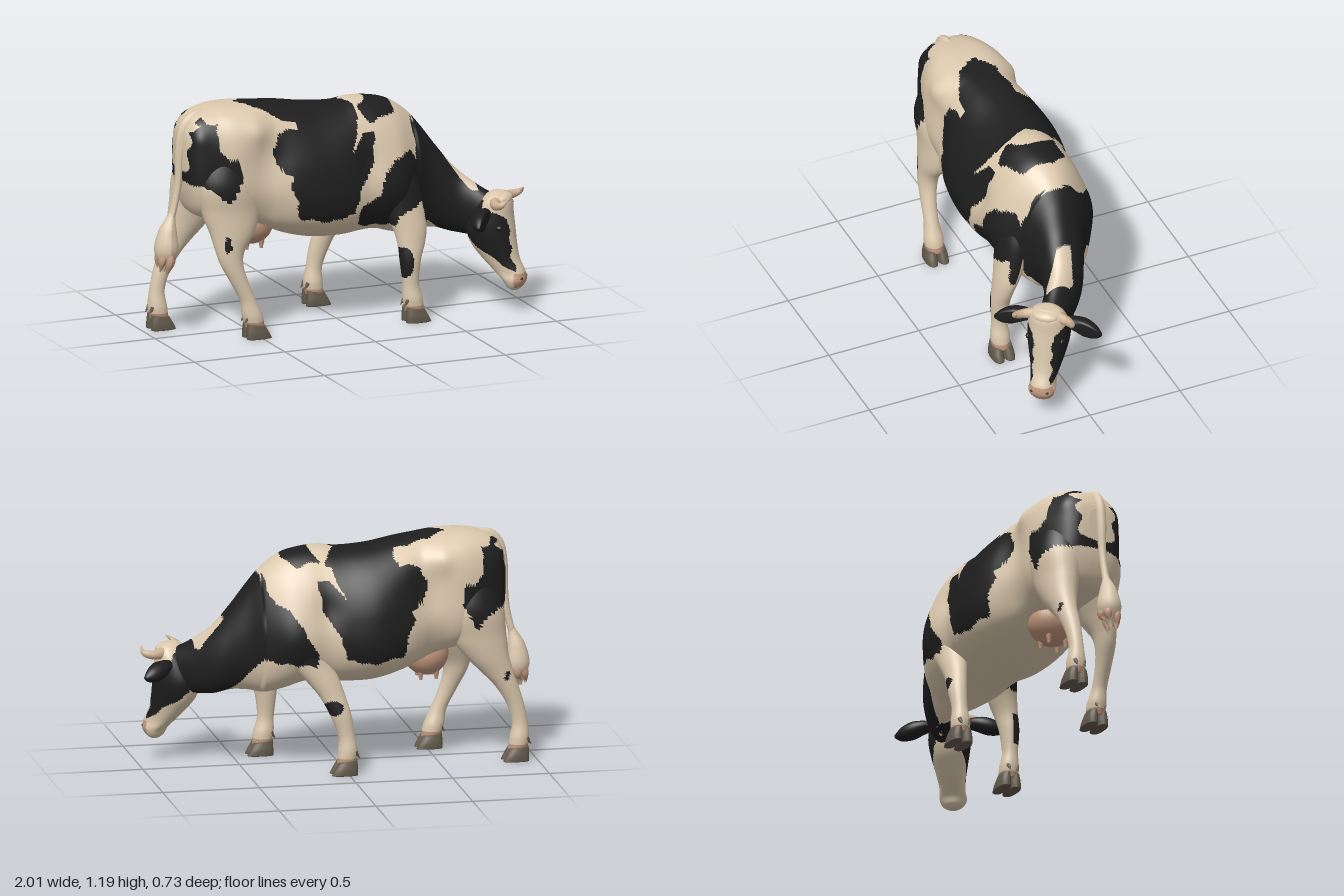
import * as THREE from 'three';

const mat = (name, color) => Object.assign(new THREE.MeshStandardMaterial({ color }), { name });
const cream = mat('cream hide', 0xdcc9ae), black = mat('black hide', 0x1e1e1e);
const pink = mat('pink skin', 0xc0967c), hoof = mat('hoof brown', 0x635a4c);
const horn = mat('horn tan', 0xcdb092), dark = mat('nostril brown', 0x3a2a22);
const PALETTE = [cream, black, pink];

// Smooth interpolation through rows of numbers
function sampleRows(rows, t) {
  const n = rows.length - 1, i = Math.min(Math.floor(t * n), n - 1), f = t * n - i;
  const at = k => rows[Math.max(0, Math.min(n, k))];
  const [a, b, c, d] = [at(i - 1), at(i), at(i + 1), at(i + 2)];
  return b.map((v, k) => v + 0.5 * f * (c[k] - a[k] + f * (2 * a[k] - 5 * v + 4 * c[k] - d[k] + f * (3 * (v - c[k]) + d[k] - a[k]))));
}

// Skin over rounded cross-sections; rows are [x, y, z, radius1, radius2, squareness]
// axis 'x': sections in the zy plane, axis 'y': sections in the xz plane
function loft(name, axis, rows, paint, M = 40, N = 28, shape = null) {
  rows = rows.map(r => r.length < 6 ? [...r, 1] : r);
  const pos = [], tris = [];
  for (let i = 0; i <= M; i++) {
    const [x, y, z, a, b, p] = sampleRows(rows, i / M);
    for (let j = 0; j < N; j++) {
      const t = j / N * Math.PI * 2, c = Math.cos(t), s = Math.sin(t);
      const u = a * Math.sign(c) * Math.abs(c) ** p, v = b * Math.sign(s) * Math.abs(s) ** p;
      const q = axis === 'x' ? new THREE.Vector3(x, y + v, z + u) : new THREE.Vector3(x + u, y, z + v);
      if (shape) shape(q, c, s);
      pos.push(q.x, q.y, q.z);
    }
  }
  for (let i = 0; i < M; i++) for (let j = 0; j < N; j++) {
    const k = (j + 1) % N, a = i * N + j, b = i * N + k, c = a + N, d = b + N;
    tris.push([a, c, b], [b, c, d]);
  }
  for (const i of [0, M]) {
    const r = sampleRows(rows, i / M), m = pos.length / 3;
    pos.push(r[0], r[1], r[2]);
    for (let j = 0; j < N; j++) {
      const a = i * N + j, b = i * N + (j + 1) % N;
      tris.push(i ? [a, m, b] : [a, b, m]);
    }
  }
  const P = i => new THREE.Vector3().fromArray(pos, i * 3);
  let vol = 0;
  for (const t of tris) vol += P(t[0]).dot(P(t[1]).cross(P(t[2])));
  const sets = [[], [], []];
  for (const t of tris) {
    if (vol < 0) t.reverse();
    const [a, b, c] = t.map(P), mid = a.clone().add(b).add(c).divideScalar(3);
    const n = b.sub(a).cross(c.sub(a)).normalize();
    sets[typeof paint === 'function' ? paint(mid, n) : 0].push(...t);
  }
  const g = new THREE.BufferGeometry();
  g.setAttribute('position', new THREE.Float32BufferAttribute(pos, 3));
  g.setIndex(sets.flat());
  let start = 0;
  sets.forEach((s, i) => { if (s.length) g.addGroup(start, s.length, i); start += s.length; });
  g.computeVertexNormals();
  if (typeof paint !== 'function') g.clearGroups();
  return Object.assign(new THREE.Mesh(g, typeof paint === 'function' ? PALETTE : paint), { name });
}

// Tube along points with a varying radius
function taper(name, points, radii, material) {
  const curve = new THREE.CatmullRomCurve3(points.map(p => new THREE.Vector3(...p)));
  const S = 32, R = 12, g = new THREE.TubeGeometry(curve, S, 1, R), p = g.attributes.position;
  for (let i = 0; i <= S; i++) {
    const c = curve.getPointAt(i / S), r = Math.max(0.001, sampleRows(radii.map(v => [v]), i / S)[0]);
    for (let j = 0; j <= R; j++) {
      const k = i * (R + 1) + j, v = new THREE.Vector3().fromBufferAttribute(p, k).sub(c).multiplyScalar(r).add(c);
      p.setXYZ(k, v.x, v.y, v.z);
    }
  }
  g.computeVertexNormals();
  return Object.assign(new THREE.Mesh(g, material), { name });
}

function ball(name, x, y, z, sx, sy, sz, material) {
  const m = new THREE.Mesh(new THREE.SphereGeometry(1, 28, 20), material);
  m.position.set(x, y, z); m.scale.set(sx, sy, sz); m.name = name;
  return m;
}

// Hide patches: side outlines in x,y (both sides, then each side's own) and top outlines in x,z
const BOTH = [
  [-.84, 1.08, -.77, 1.13, -.71, 1.12, -.72, .99, -.67, .93, -.61, .95, -.605, .83, -.67, .72, -.75, .78, -.86, .83],
  [-.53, 1.2, -.39, 1.12, -.27, 1.11, -.27, 1.06, -.38, 1.05, -.42, .96, -.4, .87, -.32, .84, -.355, .775, -.31, .695, -.285, .6,
    -.125, .57, .01, .6, .04, .72, .125, .84, .147, .99, .09, 1, .01, .91, .07, 1.04, .035, 1.14, .03, 1.2],
];
const LEFT = [...BOTH, [.1, 1.09, .12, 1.2, .28, 1.2, .28, 1.12, .23, 1.06, .14, 1.04],
  [.41, 1.03, .5, 1.1, .9, .7, .9, .36, .64, .38, .55, .43, .43, .49, .39, .61, .27, .56, .24, .5, .1, .51, .04, .53, .05, .63,
    .16, .68, .18, .78, .25, .85, .36, .88, .4, .82, .4, .95],
  [-.69, .55, -.67, .54, -.665, .48, -.685, .46, -.705, .5]];
const RIGHT = [...BOTH,
  [.41, 1.03, .5, 1.1, .9, .7, .9, .36, .64, .385, .55, .44, .48, .53, .42, .6, .28, .58, .17, .57, .15, .63, .2, .7, .24, .78, .3, .86, .37, .9, .4, .95],
  [-.86, .47, -.83, .48, -.82, .43, -.85, .42]];
const TOP = [
  [-.555, -.05, -.45, -.13, -.26, -.17, -.26, -.24, -.35, -.4, .05, -.4, .1, -.2, .03, -.08, .08, .03, .05, .3, -.4, .3, -.31, .13, -.48, .06],
  [.13, -.19, .25, -.2, .32, -.1, .3, .02, .25, .14, .13, .14, .1, .06, .17, -.04, .16, -.12],
  [.42, -.5, 1, -.5, 1, .5, .42, .5],
  [-.9, .05, -.77, .06, -.72, .25, -.9, .25], [-.9, -.07, -.77, -.1, -.72, -.3, -.9, -.3],
];
function inside(poly, x, y) {
  let hit = false;
  for (let i = 0, j = poly.length - 2; i < poly.length; j = i, i += 2) {
    if ((poly[i + 1] > y) !== (poly[j + 1] > y) &&
      x < (poly[j] - poly[i]) * (y - poly[i + 1]) / (poly[j + 1] - poly[i + 1]) + poly[i]) hit = !hit;
  }
  return hit;
}
function hide(p, n) {
  const wob = 0.006 * Math.sin(p.x * 60 + p.y * 41);
  if (p.x > .6 && p.x < .735 && p.y > .62 && n.y > .1 && Math.abs(p.z - .7 * (p.x - .65)) < .045 + (p.x - .6) * .35 + wob) return 0;
  if (n.y > .65) return TOP.some(q => inside(q, p.x + wob, p.z + wob)) ? 1 : 0;
  return (p.z > -.05 ? LEFT : RIGHT).some(q => inside(q, p.x + wob, p.y + wob)) ? 1 : 0;
}
function legHide(p, n) {
  if (p.y < .086) return 2;
  const side = p.z > -.03 ? 1 : -1;
  const knee = side > 0 ? Math.hypot((p.x - .28) / .045, (p.y - .315) / .08) < 1
    : p.z < -.272 && Math.hypot((p.x - .08) / .05, (p.y - .35) / .038) < 1;
  if (n.z * side < -.2 && p.y < .62) return 0;
  return knee ? 1 : hide(p, n);
}

// Swellings and hollows of the trunk: x, y, radius, amount outward
const RELIEF = [[-.5, 1.09, .07, .025], [-.42, .93, .11, -.025], [.27, .72, .13, .022], [.1, .85, .08, -.015], [-.82, 1.06, .05, .012], [-.44, .62, .1, -.02]];

export function createModel() {
  const cow = new THREE.Group();
  cow.name = 'cow';

  // Trunk and neck: x, top, bottom, centre z, half width, squareness
  const trunk = [
    [-.86, 1.04, .86, -.02, .05, 1], [-.845, 1.09, .74, -.02, .12, .8], [-.8, 1.15, .64, -.025, .17, .7], [-.7, 1.18, .6, -.035, .21, .7],
    [-.6, 1.187, .59, -.035, .235, .68], [-.45, 1.18, .55, -.035, .235, .7], [-.3, 1.165, .485, -.05, .275, .82], [-.15, 1.14, .447, -.06, .298, .88],
    [0, 1.13, .442, -.055, .285, .88], [.1, 1.142, .45, -.055, .262, .88], [.2, 1.135, .45, -.06, .258, .88], [.3, 1.11, .42, -.065, .242, .9],
    [.4, 1.045, .4, -.072, .19, .92], [.48, .955, .41, -.063, .142, .97], [.56, .845, .41, -.045, .12, 1], [.65, .73, .385, -.01, .106, 1],
    [.75, .64, .38, .07, .095, 1], [.83, .59, .43, .13, .065, 1],
  ].map(([x, t, b, z, w, p]) => [x, (t + b) / 2, z, w, (t - b) / 2, p]);
  cow.add(loft('trunk and neck', 'x', trunk, hide, 190, 120, (q, c, s) => {
    if (q.x < .42) q.z -= (q.z + .05) * s * (q.x > -.4 ? .2 : .2 * Math.max(.1, 1 + (q.x + .4) * 8));
    for (const [x, y, r, a] of RELIEF) q.z += c * a * Math.exp(-((q.x - x) ** 2 + (q.y - y) ** 2) / (r * r));
  }));

  // Legs: x, y, z, half length, half width
  const legs = {
    leftHindLeg: [[-.65, 1.02, .06, .1, .08], [-.65, .82, .085, .165, .125], [-.63, .66, .105, .155, .1], [-.63, .55, .13, .12, .078], [-.65, .46, .15, .078, .057],
      [-.645, .39, .16, .06, .048], [-.61, .3, .17, .047, .04], [-.565, .2, .175, .042, .038], [-.54, .12, .175, .053, .05], [-.525, .055, .175, .05, .046]],
    rightHindLeg: [[-.66, 1.02, -.13, .1, .08], [-.67, .82, -.15, .16, .126], [-.7, .66, -.165, .145, .1], [-.745, .55, -.175, .112, .078], [-.8, .46, -.18, .08, .057],
      [-.845, .39, -.18, .06, .048], [-.887, .3, -.18, .045, .04], [-.912, .2, -.18, .04, .038], [-.91, .12, -.18, .05, .05], [-.9, .055, -.18, .048, .046]],
    leftForeLeg: [[.27, .82, .1, .09, .05], [.29, .7, .11, .12, .08], [.315, .58, .135, .11, .075], [.335, .48, .165, .09, .063], [.335, .4, .185, .072, .053],
      [.325, .32, .195, .056, .05], [.325, .2, .2, .043, .04], [.335, .12, .2, .052, .05], [.345, .055, .2, .05, .046]],
    rightForeLeg: [[.24, .82, -.22, .09, .06], [.23, .7, -.235, .12, .085], [.185, .58, -.245, .11, .075], [.12, .48, -.265, .085, .06], [.075, .4, -.28, .066, .05],
      [.038, .31, -.295, .055, .046], [.008, .2, -.3, .043, .04], [.002, .12, -.3, .05, .05], [.01, .055, -.3, .048, .046]],
  };
  for (const [name, rows] of Object.entries(legs)) {
    const leg = new THREE.Group(), [x, , z] = rows.at(-1);
    leg.name = name;
    leg.add(loft('limb', 'y', rows, legHide, 80, 40));
    // Cloven hoof with a sloping top, and dewclaws
    for (const s of [-1, 1]) {
      leg.add(loft('claw', 'y', [[x + .012, 0, z + s * .03, .067, .03, .8], [x + .005, .033, z + s * .029, .06, .031, .85],
        [x - .004, .072, z + s * .025, .049, .028, 1]], hoof, 10, 20, q => { q.y *= 1 - (q.x - x) * 2; }));
      const dew = new THREE.Mesh(new THREE.ConeGeometry(.014, .045, 10), hoof);
      dew.position.set(x - .055, .1, z + s * .024); dew.rotation.z = 2.5; dew.name = 'dewclaw';
      leg.add(dew);
    }
    cow.add(leg);
  }

  // Head, built facing +z and turned toward the model's left
  const head = new THREE.Group();
  head.name = 'head';
  head.position.set(.82, 0, .155);
  head.rotation.y = .857;
  const skull = [[0, .62, .005, .035, .03], [0, .605, .005, .07, .055], [0, .57, 0, .095, .08], [0, .5, -.02, .104, .105, .9], [0, .42, -.03, .106, .125, .9],
    [0, .34, -.012, .092, .117, .9], [0, .27, .024, .075, .096, .9], [0, .21, .068, .065, .08, .85], [0, .165, .095, .069, .06, .85], [0, .13, .095, .054, .042], [0, .112, .095, .028, .02]];
  head.add(loft('skull', 'y', skull, p => {
    const w = .006 * Math.sin(p.y * 70);
    if (p.y < .197 + w && p.y > .13 && p.z > .11) return 2;
    const cheek = Math.abs(p.x) > .05 + w && p.y < .43 + Math.abs(p.x) && p.y > .25 - .65 * (p.z - .06) + w;
    return cheek || (p.z < -.05 && p.y > .4 && p.y < .58) ? 1 : 0;
  }, 90, 72));
  for (const s of [-1, 1]) {
    head.add(loft('ear', 'x', [[s * .08, .525, -.03, .024, .022], [s * .13, .52, -.03, .042, .034], [s * .19, .508, -.025, .05, .046],
      [s * .245, .497, -.015, .04, .036], [s * .283, .49, -.01, .01, .008]], black, 24, 24,
    q => { if (q.z > 0) q.z *= .1; }));
    head.add(taper('horn', [[s * .06, .575, .01], [s * .12, .572, .035], [s * .15, .585, .075], [s * .128, .615, .105]], [.03, .025, .017, .002], horn));
    head.add(ball('eye', s * .09, .445, .04, .012, .014, .018, black));
    head.add(ball('nostril', s * .038, .178, .143, .011, .008, .007, dark));
  }
  head.add(ball('forelock', 0, .585, .035, .07, .032, .045, cream));
  cow.add(head);

  // Udder with four teats
  cow.add(ball('udder', -.455, .55, -.04, .115, .115, .125, pink));
  for (const x of [-.5, -.42]) for (const z of [-.085, .015]) {
    cow.add(taper('teat', [[x, .5, z], [x, .455, z], [x, .418, z]], [.022, .016, .008], pink));
  }

  // Tail and its brush
  cow.add(taper('tail', [[-.68, 1.16, -.01], [-.79, 1.145, 0], [-.84, 1.09, 0], [-.862, .98, 0], [-.873, .8, 0], [-.9, .66, 0], [-.925, .58, 0]],
    [.012, .026, .027, .024, .02, .018, .02], cream));
  cow.add(taper('tail brush', [[-.905, .65, 0], [-.93, .55, 0], [-.94, .45, 0], [-.955, .345, 0]], [.016, .048, .06, .006], cream));
  for (let i = 0; i < 5; i++) {
    const a = i * 1.257, dx = .026 * Math.cos(a), dz = .036 * Math.sin(a);
    cow.add(taper('brush lock', [[-.935 + dx, .46, dz], [-.945 + dx * 1.3, .4, dz * 1.2], [-.96 + dx, .32 + .015 * i, dz]], [.02, .022, .002], pink));
  }
  return cow;
}
